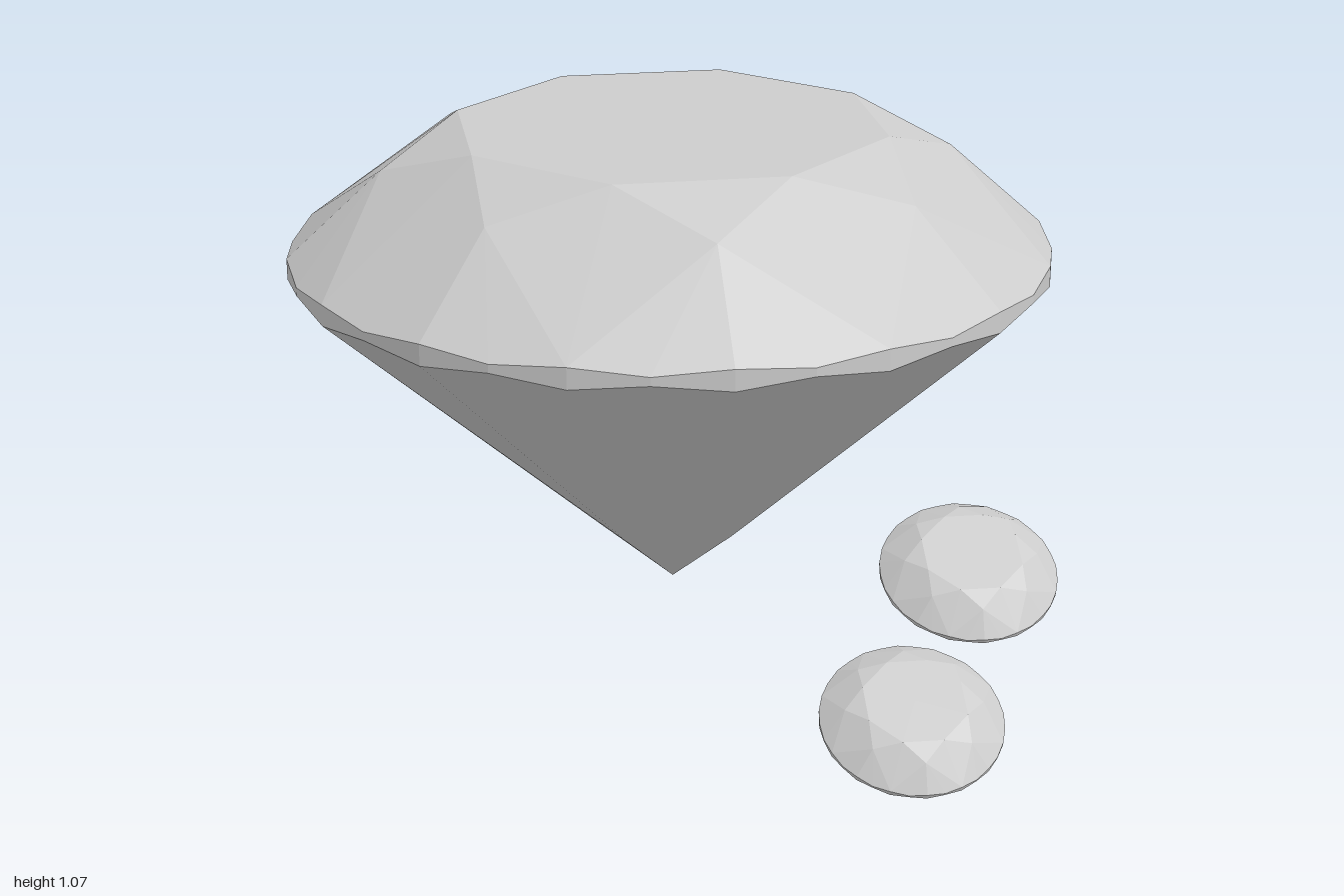
import * as THREE from 'three';

// Round brilliant cut, measured from the culet (bottom tip) at the origin
const R = 0.807;
const TABLE_R = 0.465, TABLE_Y = 1.035;
const STAR_R = 0.605, STAR_Y = 0.961;
const PAVILION_R = 0.16;
const STEP = Math.PI / 16; // 32 girdle points

const ring = (i, r, y) => [r * Math.sin(i * STEP), y, r * Math.cos(i * STEP)];

// The girdle is scalloped: thick on even points, thin on odd ones
const girdleTop = (i) => ring(i, R, i % 2 ? 0.768 : 0.78);
const girdleBottom = (i) => ring(i, R, i % 2 ? 0.75 : 0.735);
const tablePoint = (i) => ring(i, TABLE_R, TABLE_Y);
const starPoint = (i) => ring(i, STAR_R, STAR_Y);
// Lower points lie in the planes of the main pavilion facets
const pavilionPoint = (i) => ring(i, PAVILION_R, 0.735 * (PAVILION_R / R) * Math.cos(2 * STEP));

function facets(build) {
  const points = [];
  const tri = (a, b, c) => points.push(...a, ...b, ...c);
  for (let i = 0; i < 32; i += 4) build(tri, i); // eight-fold symmetry
  const geometry = new THREE.BufferGeometry();
  geometry.setAttribute('position', new THREE.Float32BufferAttribute(points, 3));
  geometry.computeVertexNormals();
  return geometry;
}

export function createModel() {
  const crystal = new THREE.MeshStandardMaterial({ color: 0xcccccc });
  crystal.name = 'crystal grey';
  crystal.flatShading = true;

  const parts = {
    table: facets((tri, i) => tri([0, TABLE_Y, 0], tablePoint(i), tablePoint(i + 4))),
    crown: facets((tri, i) => {
      const star = starPoint(i + 2);
      // Star facet beside the table
      tri(star, tablePoint(i + 4), tablePoint(i));
      // Kite facet, as two coplanar halves
      tri(starPoint(i - 2), girdleTop(i), tablePoint(i));
      tri(girdleTop(i), star, tablePoint(i));
      // Upper girdle facets
      for (let k = i; k < i + 4; k++) tri(girdleTop(k), girdleTop(k + 1), star);
    }),
    girdle: facets((tri, i) => {
      for (let k = i; k < i + 4; k++) {
        tri(girdleBottom(k), girdleBottom(k + 1), girdleTop(k + 1));
        tri(girdleBottom(k), girdleTop(k + 1), girdleTop(k));
      }
    }),
    pavilion: facets((tri, i) => {
      const low = pavilionPoint(i + 2);
      // Lower girdle facets
      for (let k = i; k < i + 4; k++) tri(low, girdleBottom(k + 1), girdleBottom(k));
      // Main facet running down to the culet
      tri([0, 0, 0], girdleBottom(i), pavilionPoint(i - 2));
      tri([0, 0, 0], low, girdleBottom(i));
    }),
  };

  const model = new THREE.Group();
  model.name = 'gemstones';

  const addGem = (name, scale, position, tilt) => {
    const gem = new THREE.Group();
    gem.name = name;
    for (const [part, geometry] of Object.entries(parts)) {
      const mesh = new THREE.Mesh(geometry, crystal);
      mesh.name = part;
      gem.add(mesh);
    }
    gem.scale.setScalar(scale);
    gem.position.set(...position);
    gem.rotation.set(...tilt);
    model.add(gem);
  };

  // One large upright stone and two small ones tilted towards the front
  addGem('largeGem', 1, [0, 0.035, -0.193], [0, 0, 0]);
  addGem('lowerSmallGem', 0.22, [-0.06, 0, 0.77], [0.41, 0, 0.18]);
  addGem('upperSmallGem', 0.22, [0.22, 0.163, 0.565], [0.41, 0, 0.18]);

  return model;
}
